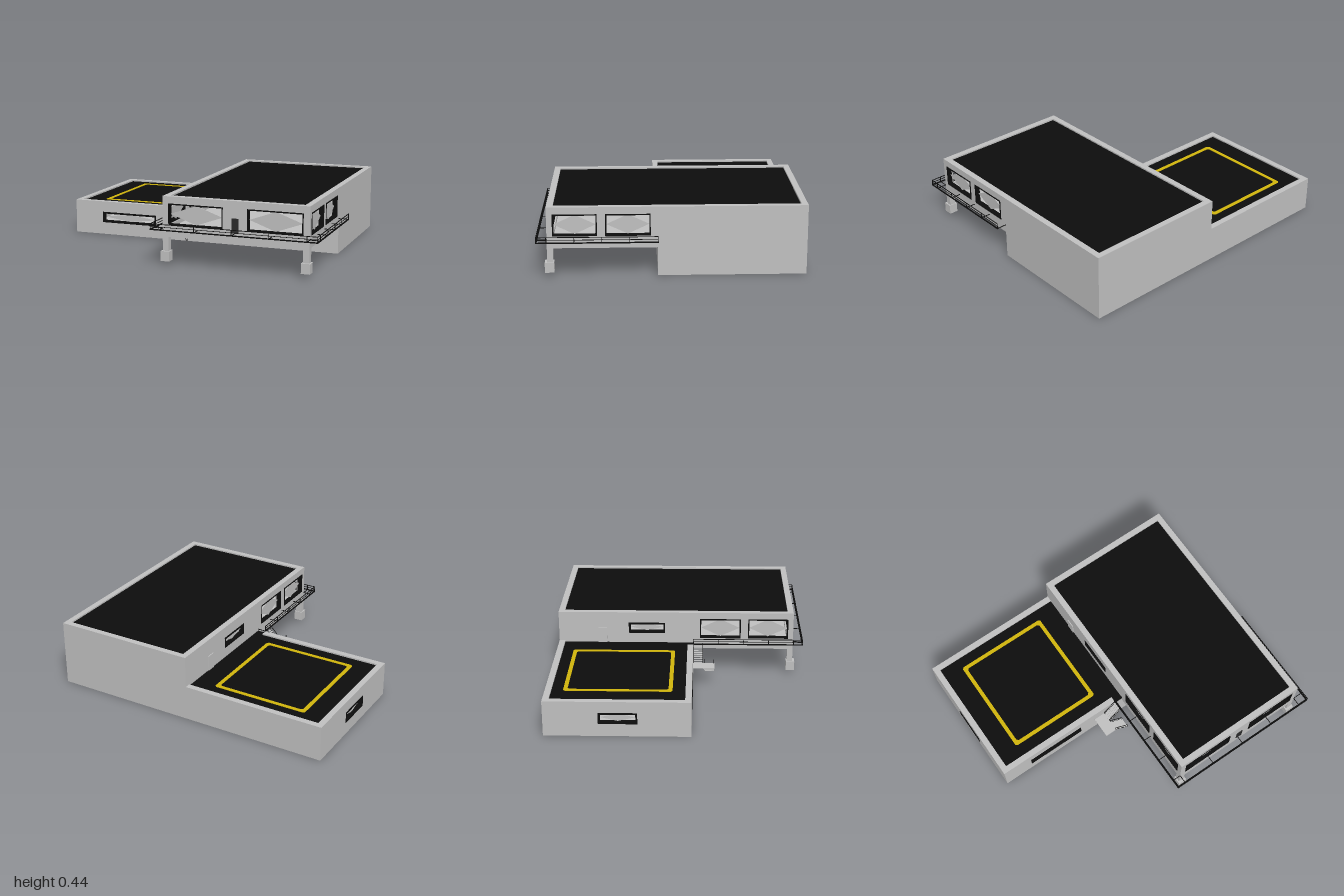
import * as THREE from 'three';

const T = 0.04; // wall thickness

export function createModel() {
  const model = new THREE.Group();
  model.name = 'building';
  const mat = (name, color) => {
    const m = new THREE.MeshStandardMaterial({ color, side: THREE.DoubleSide });
    m.name = name;
    return m;
  };
  const concrete = mat('concrete grey', 0xc0c0c0);
  const black = mat('roof black', 0x0d0d0d);
  const yellow = mat('marking yellow', 0xd0b40c);
  const charcoal = mat('door charcoal', 0x2a2a2a);

  const add = (parent, name, geometry, material) => {
    const mesh = new THREE.Mesh(geometry, material);
    mesh.name = name;
    parent.add(mesh);
    return mesh;
  };
  // box given by its minimum and maximum corners
  const box = (name, material, x0, x1, y0, y1, z0, z1, parent = model) => {
    const m = add(parent, name, new THREE.BoxGeometry(x1 - x0, y1 - y0, z1 - z0), material);
    m.position.set((x0 + x1) / 2, (y0 + y1) / 2, (z0 + z1) / 2);
    return m;
  };
  // thin straight bar between two points
  const bar = (name, a, b, t, parent, material = black) => {
    const p = new THREE.Vector3(...a), q = new THREE.Vector3(...b);
    const m = add(parent, name, new THREE.BoxGeometry(t, t, p.distanceTo(q) + t), material);
    m.position.copy(p).add(q).multiplyScalar(0.5);
    m.lookAt(q);
    return m;
  };
  const poly = (pts) => new THREE.Shape(pts.map(([x, y]) => new THREE.Vector2(x, y)));
  const rect = (a, b, c, d) => [[a, c], [b, c], [b, d], [a, d]];
  const extrude = (shape, depth, z = 0) =>
    new THREE.ExtrudeGeometry(shape, { depth, bevelEnabled: false }).translate(0, 0, z);

  // wall with window openings [u0, u1, y0, y1, frame width]
  const wall = (name, pts, windows, outerAtStart = false) => {
    const g = new THREE.Group();
    g.name = name;
    const shape = poly(pts);
    for (const [a, b, c, d, f] of windows) {
      shape.holes.push(poly(rect(a, b, c, d)));
      const frame = poly(rect(a, b, c, d));
      frame.holes.push(poly(rect(a + f, b - f, c + f, d - f)));
      add(g, 'windowFrame', extrude(frame, 0.033, outerAtStart ? -0.003 : 0.01), black);
      const u = (a + b) / 2, v = (c + d) / 2;
      const diamond = poly([[a + f, v], [u, c + f], [b - f, v], [u, d - f]]);
      add(g, 'windowDiamond', extrude(diamond, 0.004, 0.018), concrete);
    }
    add(g, 'wallPanel', extrude(shape, T), concrete);
    model.add(g);
    return g;
  };
  const sideWall = (name, outerX, pts, windows) => {
    const g = wall(name, pts, windows, outerX > 0.5);
    g.rotation.y = -Math.PI / 2;
    g.position.x = outerX > 0.5 ? outerX : outerX + T;
    return g;
  };

  // outer walls
  const bays = [[0.13, 0.41, 0.26, 0.4, 0.008], [0.46, 0.735, 0.26, 0.4, 0.008]];
  wall('backWall', [[-1, 0], [0.93, 0], [0.93, 0.445], [-0.035, 0.445], [-0.035, 0.235], [-1, 0.235]], [])
    .position.z = -0.84;
  wall('lowerFrontWall', [[-1, 0], [0.92, 0], [0.92, 0.22], [-0.095, 0.22], [-0.095, 0.235], [-1, 0.235]],
    [[-0.79, -0.38, 0.085, 0.16, 0.012]]).position.z = 0.045;
  wall('upperFrontWall', rect(-0.035, 0.93, 0.183, 0.445),
    [[0.005, 0.37, 0.26, 0.4, 0.008], [0.53, 0.89, 0.26, 0.4, 0.008]]).position.z = 0.73;
  sideWall('leftWall', 0.93,
    [[-0.84, 0], [0.085, 0], [0.085, 0.183], [0.77, 0.183], [0.77, 0.445], [-0.84, 0.445]], bays);
  sideWall('lowerRightWall', -1, rect(-0.84, 0.085, 0, 0.235), [[-0.495, -0.25, 0.085, 0.16, 0.012]]);
  sideWall('upperRightWall', -0.035, rect(-0.84, 0.77, 0.183, 0.445),
    [...bays, [-0.36, -0.11, 0.295, 0.37, 0.012]]);

  // floors and recessed roofs
  box('baseFloor', concrete, -0.97, 0.9, 0.02, 0.03, -0.81, 0.055);
  box('upperFloor', concrete, 0, 0.9, 0.205, 0.235, -0.81, 0.74);
  box('upperRoof', black, 0.003, 0.892, 0.42, 0.435, -0.802, 0.732);
  box('lowerRoof', black, -0.962, -0.03, 0.21, 0.225, -0.802, 0.047);
  box('roofPassage', black, -0.095, -0.033, 0.215, 0.225, 0.04, 0.087);

  // landing square with cut corners on the lower roof
  const cut = (a, b, c, d, r) => [[a + r, c], [b - r, c], [b, c + r], [b, d - r],
    [b - r, d], [a + r, d], [a, d - r], [a, c + r]];
  const ring = poly(cut(-0.826, -0.18, 0.037, 0.727, 0.012));
  ring.holes.push(poly(cut(-0.8, -0.206, 0.063, 0.701, 0.012)));
  const marking = add(model, 'roofMarking', extrude(ring, 0.003), yellow);
  marking.rotation.x = -Math.PI / 2;
  marking.position.y = 0.225;

  // beams beneath the overhang
  for (const x of [0.26, 0.57]) box('overhangBeam', concrete, x, x + 0.025, 0.185, 0.21, 0.08, 0.74);
  for (const z of [0.087, 0.29, 0.51]) box('overhangCrossBeam', concrete, 0, 0.9, 0.185, 0.21, z, z + 0.025);

  // columns with footings
  for (const x of [-0.015, 0.91]) {
    box('column', concrete, x - 0.02, x + 0.02, 0.08, 0.19, 0.732, 0.77);
    box('columnFooting', concrete, x - 0.029, x + 0.029, 0.027, 0.092, 0.727, 0.785);
  }

  // doors
  const lowerDoor = poly([[0.43, 0.04], [0.475, 0.04], [0.475, 0.13], [0.465, 0.14], [0.437, 0.14], [0.43, 0.133]]);
  add(model, 'lowerDoor', extrude(lowerDoor, 0.004, 0.085), concrete);
  box('balconyDoor', charcoal, 0.43, 0.475, 0.24, 0.335, 0.768, 0.774);
  box('roofDoor', concrete, -0.041, -0.034, 0.225, 0.33, -0.57, -0.51);

  // open balcony: lattice deck, posts and rails
  const balcony = new THREE.Group();
  balcony.name = 'balcony';
  model.add(balcony);
  const L = -0.094, R = 0.996, F = 0.831, B = 0.085;
  for (const [y, t] of [[0.238, 0.007], [0.257, 0.003], [0.274, 0.004]]) {
    bar('frontRail', [L, y, F], [R, y, F], t, balcony);
    for (const x of [L, R]) bar('sideRail', [x, y, B], [x, y, F], t, balcony);
  }
  for (const x of [-0.035, 0.2, 0.447, 0.69, 0.93]) {
    bar('deckStrut', [x, 0.238, 0.77], [x, 0.238, F], 0.004, balcony);
    bar('railPost', [x, 0.238, F], [x, 0.274, F], 0.004, balcony);
  }
  for (const [outer, inner] of [[L, -0.035], [R, 0.93]]) {
    for (const z of [B, 0.26, 0.43, 0.6, 0.77, F]) {
      if (z < F) bar('deckStrut', [inner, 0.238, z], [outer, 0.238, z], 0.004, balcony);
      bar('railPost', [outer, 0.238, z], [outer, 0.274, z], 0.004, balcony);
    }
  }

  // two stair flights joined by a landing
  const stairs = new THREE.Group();
  stairs.name = 'outsideStairs';
  model.add(stairs);
  box('stairLanding', concrete, -0.265, -0.18, 0.131, 0.137, 0.085, 0.23, stairs);
  const flight = (x0, y0, x1, y1, z0, z1) => {
    const n = 9, dx = (x1 - x0) / n, dy = (y1 - y0) / n;
    for (let i = 0; i < n; i++) {
      const x = x0 + dx * (i + 0.5), y = y0 + dy * (i + 0.5);
      box('stairTread', concrete, x - 0.0055, x + 0.0055, y - 0.002, y + 0.002, z0, z1, stairs);
    }
    for (const z of [z0 + 0.002, z1 - 0.002]) {
      bar('stairStringer', [x0, y0, z], [x1, y1, z], 0.004, stairs);
      bar('stairHandrail', [x0, y0 + 0.03, z], [x1, y1 + 0.03, z], 0.003, stairs);
      for (const [x, y] of [[x0, y0], [x1, y1]]) bar('stairPost', [x, y, z], [x, y + 0.03, z], 0.003, stairs);
    }
  };
  flight(-0.185, 0.134, -0.096, 0.225, 0.087, 0.153);
  flight(-0.185, 0.134, -0.088, 0.035, 0.16, 0.228);

  return model;
}
